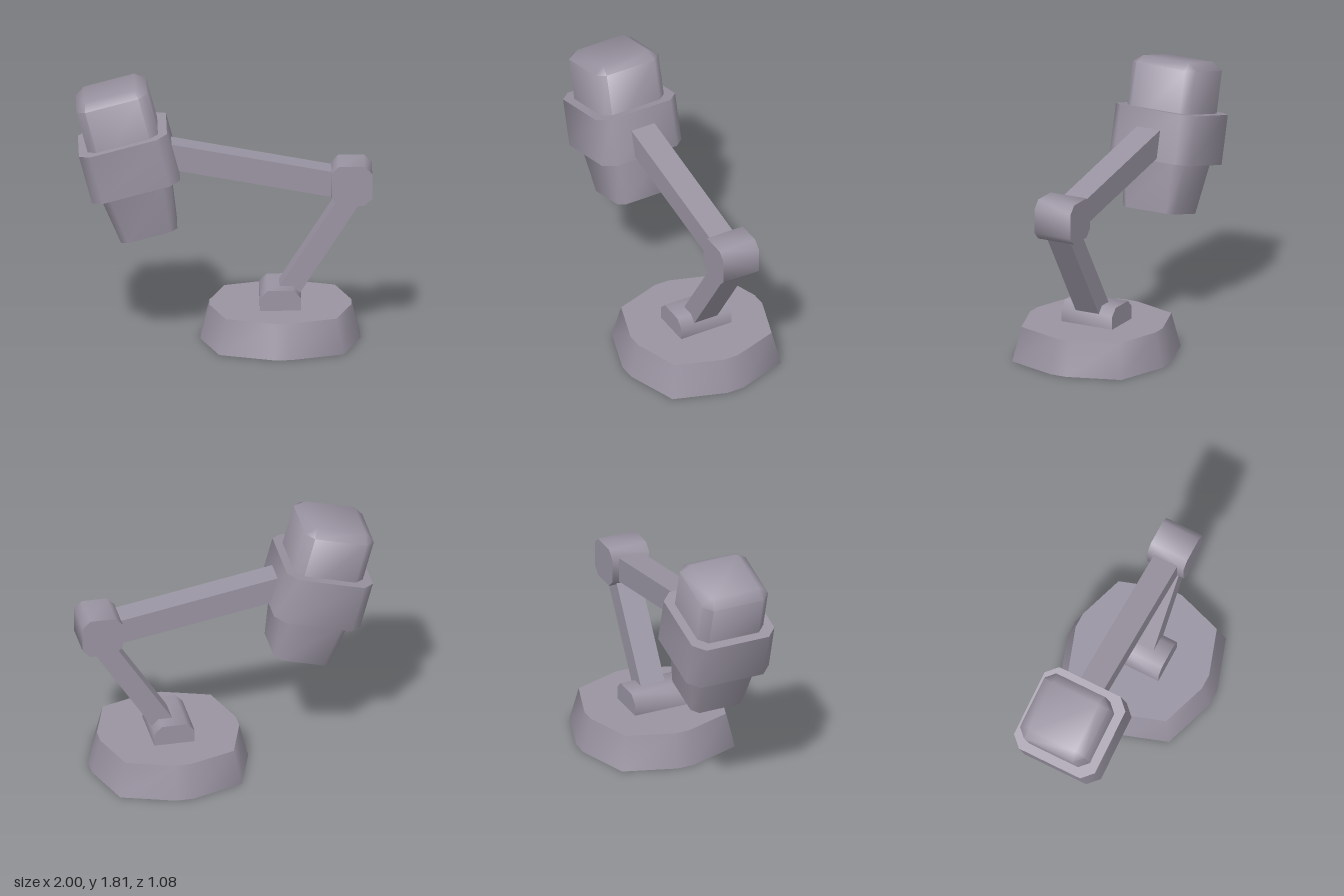
import * as THREE from 'three';
import { toCreasedNormals } from 'three/addons/utils/BufferGeometryUtils.js';

// Square outline of half size h with corners cut by c
function cutSquare(h, c) {
  const k = h - c;
  return [[h, k], [k, h], [-k, h], [-h, k], [-h, -k], [-k, -h], [k, -h], [h, -k]];
}

// Capped solid through rings of { y, pts }, soft across shallow edges
function loft(rings) {
  const n = rings[0].pts.length;
  const pos = [], idx = [];
  for (const { y, pts } of rings) for (const [x, z] of pts) pos.push(x, y, z);
  for (let r = 0; r < rings.length - 1; r++) {
    for (let i = 0; i < n; i++) {
      const a = r * n + i, b = r * n + (i + 1) % n;
      idx.push(a, a + n, b, b, a + n, b + n);
    }
  }
  const top = (rings.length - 1) * n;
  for (let i = 1; i < n - 1; i++) {
    idx.push(0, i, i + 1);
    idx.push(top, top + i + 1, top + i);
  }
  const geo = new THREE.BufferGeometry();
  geo.setAttribute('position', new THREE.Float32BufferAttribute(pos, 3));
  geo.setIndex(idx);
  return toCreasedNormals(geo, 1.1);
}

export function createModel() {
  const model = new THREE.Group();
  model.name = 'deskLamp';
  const grey = new THREE.MeshStandardMaterial({ color: 0x9a94a2 });
  grey.name = 'warmGrey';

  function add(name, geo, x, y, parent = model) {
    const mesh = new THREE.Mesh(geo, grey);
    mesh.name = name;
    mesh.position.set(x, y, 0);
    parent.add(mesh);
    return mesh;
  }

  // Tapered twelve-sided foot
  const footRing = (s) => {
    const pts = [];
    for (let q = 0; q < 4; q++) {
      const c = Math.round(Math.cos(q * Math.PI / 2)), d = Math.round(Math.sin(q * Math.PI / 2));
      for (const [x, z] of [[0.54, 0.06], [0.42, 0.42], [0.06, 0.54]]) {
        pts.push([s * (x * c - z * d), s * (x * d + z * c)]);
      }
    }
    return pts;
  };
  add('base', loft([{ y: 0, pts: footRing(1) }, { y: 0.24, pts: footRing(0.89) }]), 0.38, 0);

  // Bevelled hinge blocks lying along z
  const hinge = (halfLength) => loft([
    { y: -halfLength, pts: cutSquare(0.139, 0.052) },
    { y: halfLength, pts: cutSquare(0.139, 0.052) },
  ]).rotateX(Math.PI / 2);
  add('baseHinge', hinge(0.195), 0.378, 0.241);
  add('elbowHinge', hinge(0.138), 0.861, 1.102);

  // Straight arms between two points
  function arm(name, x0, y0, x1, y1, width) {
    const length = Math.hypot(x1 - x0, y1 - y0);
    const mesh = add(name, new THREE.BoxGeometry(length, width, 0.178), (x0 + x1) / 2, (y0 + y1) / 2);
    mesh.rotation.z = Math.atan2(y1 - y0, x1 - x0);
  }
  arm('lowerArm', 0.4, 0.292, 0.88, 1.04, 0.142);
  arm('upperArm', -0.5, 1.326, 0.86, 1.077, 0.176);

  // Tilted lamp head
  const head = new THREE.Group();
  head.name = 'head';
  head.position.set(-0.644, 1.267, 0);
  head.rotation.z = Math.PI / 12;
  model.add(head);
  add('headBand', loft([
    { y: -0.171, pts: cutSquare(0.308, 0.075) },
    { y: 0.171, pts: cutSquare(0.308, 0.075) },
  ]), 0, 0, head);
  add('headCap', loft([
    { y: 0, pts: cutSquare(0.246, 0.06) },
    { y: 0.465, pts: cutSquare(0.246, 0.06) },
    { y: 0.515, pts: cutSquare(0.178, 0.006) },
  ]), 0, 0, head);
  add('headShade', loft([
    { y: -0.52, pts: cutSquare(0.197, 0.046) },
    { y: -0.17, pts: cutSquare(0.245, 0.06) },
  ]), 0, 0, head);

  return model;
}
